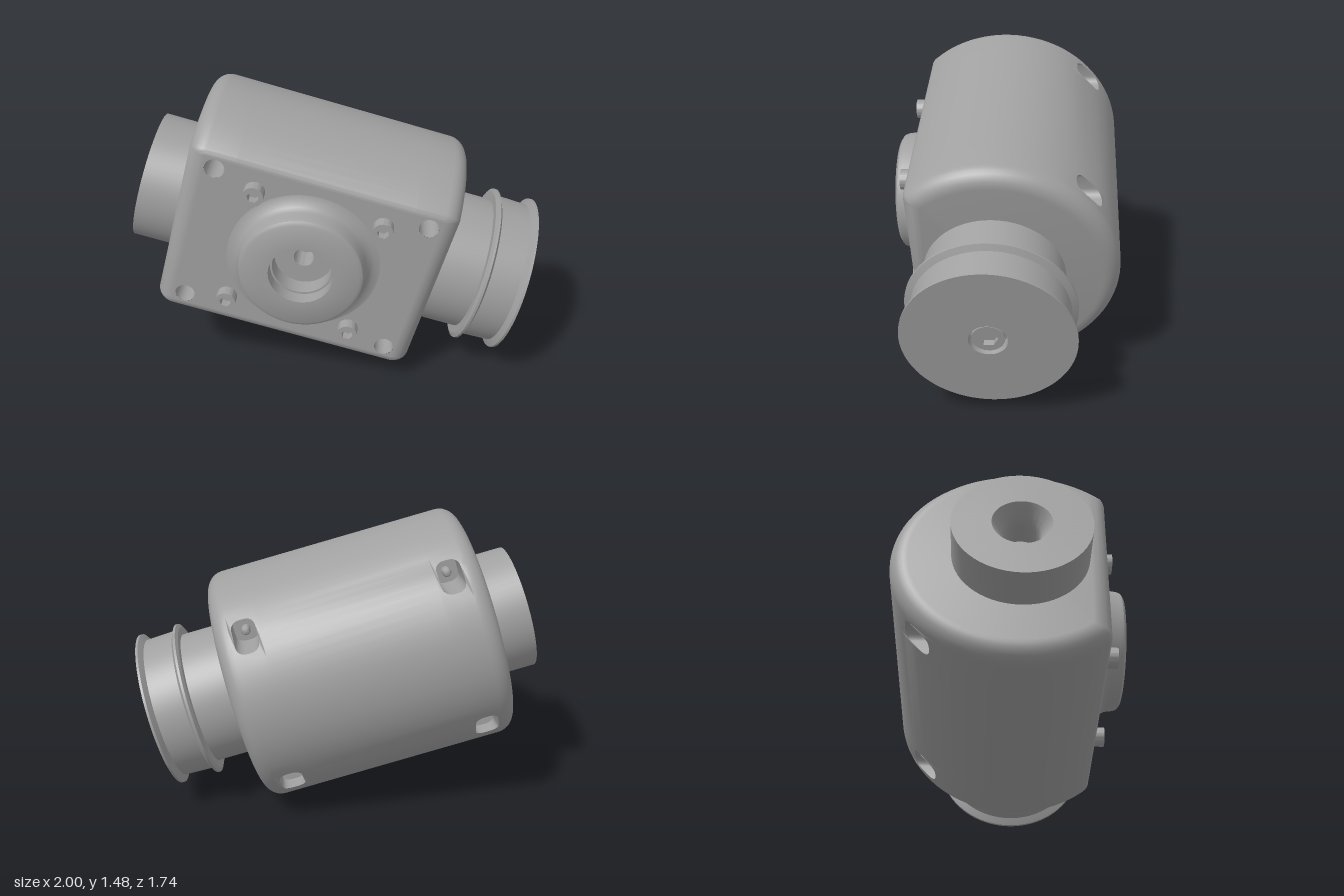
import * as THREE from 'three';
import { toCreasedNormals } from 'three/addons/utils/BufferGeometryUtils.js';

const grey = new THREE.MeshStandardMaterial({ color: 0xa0a0a0 });
grey.name = 'plain grey';

// Local frame: x along the shaft, z out of the flat mounting face.
const R = 0.606, FLAT = 0.41, CORNER = 0.05, FILLET = 0.085, CORE = 0.575;
const ROW = 0.43, POCKET_FLOOR = -0.3, HOLE = { x: 0.52, y: 0.372, r: 0.048 };
const rad = THREE.MathUtils.degToRad;

function part(name, geometry, crease = 0.6) {
  const mesh = new THREE.Mesh(toCreasedNormals(geometry, crease), grey);
  mesh.name = name;
  return mesh;
}

// Turned part about y; the profile runs from the outer base to the inside.
function turned(points, segments = 64) {
  return new THREE.LatheGeometry(points.map(p => new THREE.Vector2(...p)), segments);
}

function circlePath(x, y, r) {
  return new THREE.Path().absarc(x, y, r, 0, Math.PI * 2, true);
}

// Angles round the curved side, measured from the back; pockets span 29 to 53 degrees.
const edgeAngle = Math.acos(-(FLAT - CORNER) / (R - CORNER));
const angles = [];
const stops = [-edgeAngle, rad(-53), rad(-29), rad(29), rad(53), edgeAngle];
[18, 6, 14, 6, 18].forEach((n, k) => {
  for (let i = 0; i < n; i++) angles.push(THREE.MathUtils.lerp(stops[k], stops[k + 1], i / n));
});
angles.push(edgeAngle);

// D-shaped section, inset by d, with rounded corners
function section(x, d) {
  const e = Math.max(CORNER, d), end = Math.acos(-(FLAT - e) / (R - e));
  const pts = angles.map(a => {
    const t = a * end / edgeAngle;
    return [x, (R - d) * Math.sin(t), -(R - d) * Math.cos(t)];
  });
  const corner = [];
  for (let i = 1; i <= 5; i++) {
    const t = THREE.MathUtils.lerp(end, Math.PI, i / 5);
    corner.push([x, (R - e) * Math.sin(end) + (e - d) * Math.sin(t), FLAT - e - (e - d) * Math.cos(t)]);
  }
  return [...pts, ...corner, ...corner.reverse().map(p => [p[0], -p[1], p[2]])];
}

function roundedOutline(cx, cy, w, h, r) {
  const pts = [];
  [[1, -1], [1, 1], [-1, 1], [-1, -1]].forEach(([sx, sy], k) => {
    for (let i = 0; i <= 6; i++) {
      const t = (k - 1 + i / 6) * Math.PI / 2;
      pts.push(new THREE.Vector2(cx + sx * (w - r) + r * Math.cos(t), cy + sy * (h - r) + r * Math.sin(t)));
    }
  });
  return pts;
}

function bodyGeometry() {
  const pos = [];
  const tri = (a, b, c) => pos.push(...a, ...b, ...c);
  const rings = [];
  const steps = 7;
  const endRing = (side, i) => {
    const t = i / steps * Math.PI / 2;
    return section(side * (CORE + FILLET * Math.sin(t)), FILLET * (1 - Math.cos(t)));
  };
  for (let i = steps; i >= 0; i--) rings.push(endRing(-1, i));
  rings.push(section(-ROW, 0), section(ROW, 0));
  for (let i = 0; i <= steps; i++) rings.push(endRing(1, i));

  // curved side and end fillets, leaving gaps for the flat face and pockets
  const count = rings[0].length, flatEdge = angles.length + 4;
  for (let i = 0; i < rings.length - 1; i++) {
    const core = i >= steps && i <= steps + 2, pocketRow = i === steps || i === steps + 2;
    for (let j = 0; j < count; j++) {
      const inPocket = (j >= 18 && j < 24) || (j >= 38 && j < 44);
      if ((core && j === flatEdge) || (pocketRow && inPocket)) continue;
      const k = (j + 1) % count, p = rings[i], q = rings[i + 1];
      tri(p[j], p[k], q[j]);
      tri(p[k], q[k], q[j]);
    }
  }
  // end faces
  const first = rings[0], last = rings[rings.length - 1];
  for (let j = 0; j < count; j++) {
    const k = (j + 1) % count;
    tri([last[0][0], 0, 0], last[j], last[k]);
    tri([first[0][0], 0, 0], first[k], first[j]);
  }
  // rear bolt pockets, cut straight in from the back
  const wrap = p => [p.y, R * Math.sin(p.x / R), -R * Math.cos(p.x / R)];
  for (const side of [-1, 1]) for (const s of [-1, 1]) {
    const lo = R * rad(side > 0 ? 29 : -53), hi = R * rad(side > 0 ? 53 : -29);
    const y0 = s > 0 ? ROW : -CORE, y1 = s > 0 ? CORE : -ROW;
    const border = [];
    for (let i = 0; i <= 6; i++) border.push(new THREE.Vector2(lo + (hi - lo) * i / 6, y0));
    for (let i = 6; i >= 0; i--) border.push(new THREE.Vector2(lo + (hi - lo) * i / 6, y1));
    const rim = roundedOutline((lo + hi) / 2, (y0 + y1) / 2, 0.09, 0.058, 0.045);
    const shape = new THREE.Shape(border);
    shape.holes.push(new THREE.Path(rim));
    const patch = new THREE.ShapeGeometry(shape).toNonIndexed().attributes.position;
    for (let i = 0; i < patch.count; i++) pos.push(...wrap(new THREE.Vector2(patch.getX(i), patch.getY(i))));
    const top = rim.map(wrap), bottom = top.map(p => [p[0], p[1], POCKET_FLOOR]);
    const middle = [(y0 + y1) / 2, side * 0.395, POCKET_FLOOR];
    for (let i = 0; i < top.length; i++) {
      const k = (i + 1) % top.length;
      tri(top[i], top[k], bottom[i]);
      tri(top[k], bottom[k], bottom[i]);
      tri(middle, bottom[i], bottom[k]);
    }
  }
  // flat mounting face with its holes
  const w = (R - CORNER) * Math.sin(edgeAngle);
  const face = new THREE.Shape([[-CORE, -w], [CORE, -w], [CORE, w], [-CORE, w]].map(p => new THREE.Vector2(...p)));
  face.holes.push(circlePath(0, 0, 0.3));
  for (const x of [-1, 1]) for (const y of [-1, 1]) face.holes.push(circlePath(x * HOLE.x, y * HOLE.y, HOLE.r));
  const flat = new THREE.ShapeGeometry(face, 24).toNonIndexed().translate(0, 0, FLAT);
  for (const v of flat.attributes.position.array) pos.push(v);

  const g = new THREE.BufferGeometry();
  g.setAttribute('position', new THREE.Float32BufferAttribute(pos, 3));
  return g;
}

// Socket-head screw standing on z = 0
function socketScrew(name, r, h, hex) {
  const group = new THREE.Group();
  group.name = name;
  const shape = new THREE.Shape().absarc(0, 0, r, 0, Math.PI * 2, false);
  const hexagon = [];
  for (let i = 0; i < 6; i++) hexagon.push(new THREE.Vector2(hex * Math.cos(-i * Math.PI / 3), hex * Math.sin(-i * Math.PI / 3)));
  shape.holes.push(new THREE.Path(hexagon));
  group.add(part('screwHead', new THREE.ExtrudeGeometry(shape, { depth: h, bevelEnabled: false, curveSegments: 24 })));
  const floor = part('socketFloor', new THREE.CircleGeometry(hex * 1.1, 16));
  floor.position.z = h * 0.35;
  group.add(floor);
  return group;
}

export function createModel() {
  const motor = new THREE.Group();
  motor.name = 'motorUnit';
  motor.add(part('housing', bodyGeometry()));

  // raised collar with stepped bore on the flat face
  motor.add(part('frontCollar', turned([
    [0.375, 0.41], [0.345, 0.417], [0.322, 0.435], [0.31, 0.46], [0.305, 0.5], [0.298, 0.518], [0.28, 0.53],
    [0.155, 0.53], [0.155, 0.46], [0.145, 0.46], [0.145, 0.37], [0.05, 0.37], [0.05, 0.25], [0, 0.25],
  ]).rotateX(Math.PI / 2)));

  // mounting holes, face screws and rear bolt tips
  for (const x of [-1, 1]) for (const y of [-1, 1]) {
    const hole = part('mountingHole', turned([[HOLE.r, 0], [HOLE.r, -0.2], [0, -0.2]], 24).rotateX(Math.PI / 2));
    hole.position.set(x * HOLE.x, y * HOLE.y, FLAT);
    const screw = socketScrew('faceScrew', 0.05, 0.07, 0.029);
    screw.position.set(x * 0.314, y * 0.314, 0.4);
    const tip = part('boltTip', turned([[0.022, 0], [0.022, 0.04], [0.015, 0.055], [0, 0.06]], 16).rotateX(-Math.PI / 2));
    tip.position.set(x * 0.5025, y * 0.385, POCKET_FLOOR);
    motor.add(hole, screw, tip);
  }

  // grooved pulley with a recess for its screw
  motor.add(part('pulley', turned([
    [0.345, 0.64], [0.345, 0.868], [0.385, 0.868], [0.405, 0.878], [0.405, 0.89], [0.375, 0.905],
    [0.37, 1.055], [0.395, 1.068], [0.405, 1.074], [0.405, 1.086],
    [0.09, 1.086], [0.09, 1.03], [0, 1.03],
  ], 80).rotateZ(-Math.PI / 2), 0.4));
  const pulleyScrew = socketScrew('pulleyScrew', 0.076, 0.045, 0.046);
  pulleyScrew.rotation.y = Math.PI / 2;
  pulleyScrew.position.x = 1.03;
  motor.add(pulleyScrew);

  // rear shaft boss with a countersunk bore
  motor.add(part('rearBoss', turned([
    [0.32, 0.64], [0.32, 0.857], [0.138, 0.857], [0.125, 0.84], [0.108, 0.81], [0.092, 0.785],
    [0.085, 0.75], [0.085, 0.6], [0, 0.6],
  ]).rotateZ(Math.PI / 2)));

  // tilt the whole unit into place
  const along = new THREE.Vector3(0.814, -0.265, 0.517).normalize();
  const out = along.clone().cross(new THREE.Vector3(0.208, 0.964, 0.166)).normalize();
  const up = out.clone().cross(along);
  motor.quaternion.setFromRotationMatrix(new THREE.Matrix4().makeBasis(along, up, out));
  motor.position.set(-0.121, 0.74, -0.042);

  const model = new THREE.Group();
  model.name = 'model';
  model.add(motor);
  return model;
}
